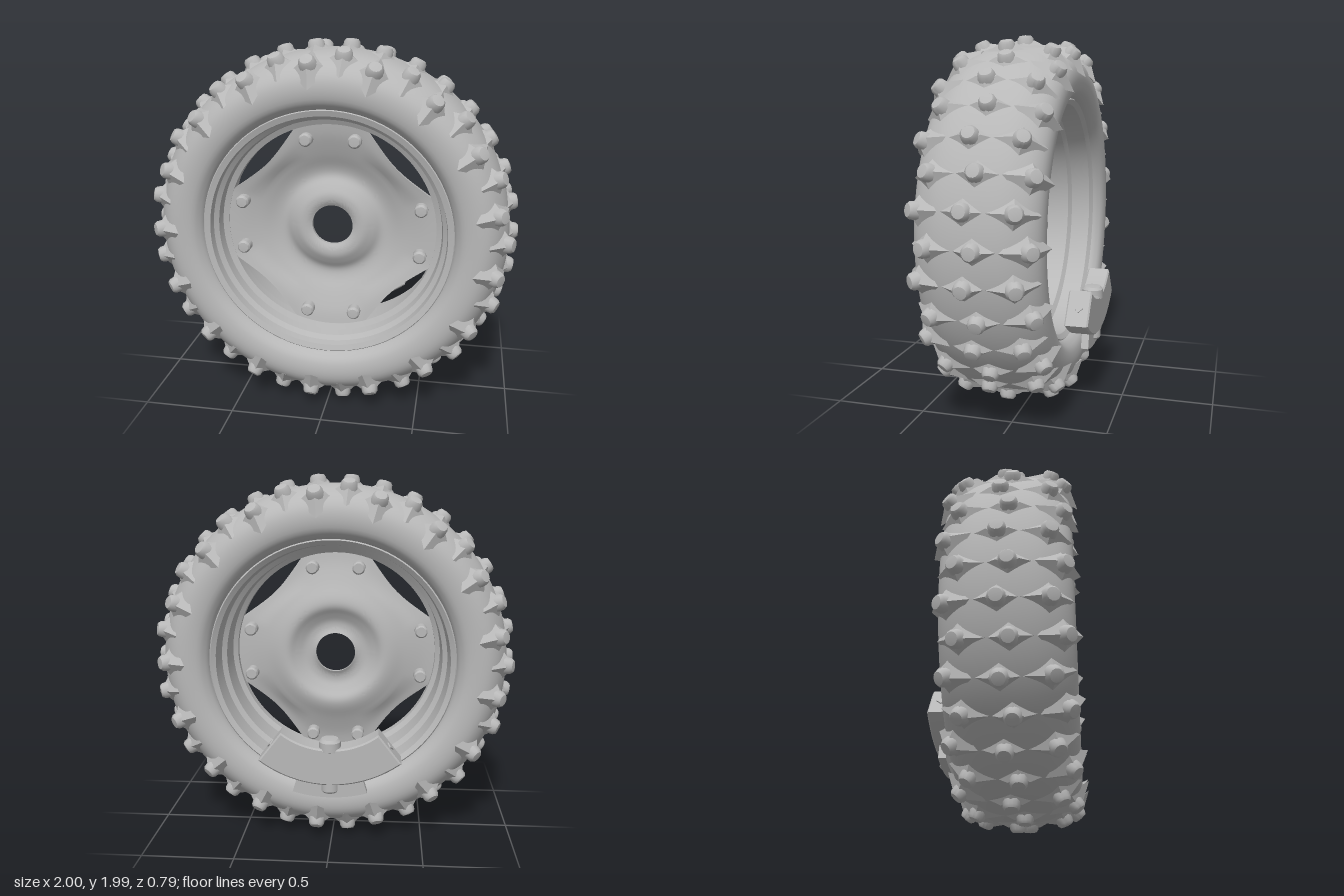
import * as THREE from 'three';
import { toCreasedNormals, mergeGeometries } from 'three/addons/utils/BufferGeometryUtils.js';

const metal = new THREE.MeshStandardMaterial({ color: 0xb8b8b8 });
metal.name = 'plain grey';

const MID = 0.065; // z of the tyre's middle plane
const pts = (list) => list.map(([r, z]) => new THREE.Vector2(r, z));

// Closed (radius, z) profile spun around the axle
function spin(points, segments, crease = 0.6) {
  const loop = [...points, points[0].clone()];
  return toCreasedNormals(new THREE.LatheGeometry(loop, segments).rotateX(Math.PI / 2), crease);
}

function add(parent, geometry, name) {
  const mesh = new THREE.Mesh(geometry, metal);
  mesh.name = name;
  parent.add(mesh);
  return mesh;
}

// Curved bar concentric with the wheel, centred on its lowest point
function arcBar(rIn, rOut, halfAngle, z0, z1, bevel = 0) {
  const mid = -Math.PI / 2;
  const s = new THREE.Shape();
  s.absarc(0, 0, rOut, mid - halfAngle, mid + halfAngle, false);
  s.absarc(0, 0, rIn, mid + halfAngle, mid - halfAngle, true);
  s.closePath();
  const g = new THREE.ExtrudeGeometry(s, {
    depth: z1 - z0 - 2 * bevel, curveSegments: 16, bevelEnabled: bevel > 0,
    bevelSize: bevel, bevelOffset: -bevel, bevelThickness: bevel, bevelSegments: 1,
  });
  return toCreasedNormals(g.translate(0, 0, z0 + bevel), 0.5);
}

function tyreGeometry() {
  const half = [[0.95, 0], [0.947, 0.09], [0.935, 0.16], [0.913, 0.215], [0.878, 0.27],
    [0.83, 0.306], [0.77, 0.316], [0.71, 0.303], [0.675, 0.268]];
  const whole = [...half.slice(1).reverse().map(([r, z]) => [r, -z]), ...half];
  const outer = new THREE.SplineCurve(pts(whole.map(([r, z]) => [r, z + MID]))).getPoints(48);
  return spin([...outer, ...pts([[0.665, 0.31], [0.665, -0.18]])], 96);
}

function rimGeometry() {
  return spin(pts([
    [0.69, -0.16], [0.69, 0.30], [0.665, 0.325], [0.635, 0.315], [0.63, 0.27], [0.607, 0.25],
    [0.6, 0.195], [0.57, 0.18], [0.57, 0.125], [0.595, 0.105], [0.6, -0.04],
    [0.625, -0.06], [0.635, -0.17], [0.66, -0.19],
  ]), 96, 0.4);
}

// Dished disc whose edge is cut back in four shallow curves
function discGeometry() {
  const front = new THREE.SplineCurve(pts([[0.58, 0.18], [0.5, 0.165], [0.4, 0.13], [0.32, 0.095],
    [0.27, 0.09], [0.225, 0.115], [0.18, 0.137], [0.14, 0.138], [0.112, 0.125]])).getPoints(32);
  const back = front.map((p) => new THREE.Vector2(p.x, p.y - 0.022)).reverse();
  const g = new THREE.LatheGeometry([...front, ...back, front[0].clone()], 144).rotateX(Math.PI / 2);
  const p = g.attributes.position;
  const quarter = Math.PI / 2;
  for (let i = 0; i < p.count; i++) {
    const x = p.getX(i), y = p.getY(i), r = Math.hypot(x, y);
    if (r < 0.4) continue;
    const a = Math.atan2(y, x) + 2 * Math.PI;
    const off = Math.abs((a % quarter) - quarter / 2) / 0.424;
    const edge = Math.min(0.58, 0.488 + 0.08 * off * off);
    const k = (0.4 + (r - 0.4) * (edge - 0.4) / 0.18) / r;
    p.setXY(i, x * k, y * k);
  }
  return toCreasedNormals(g, 0.6);
}

// Round stud on a low diamond-shaped foot, pointing along +y
function knobGeometry(footX, footZ) {
  const stud = new THREE.LatheGeometry(pts([[0.058, -0.04], [0.047, 0.005], [0.042, 0.04],
    [0.032, 0.053], [0, 0.057]]), 14);
  const foot = new THREE.CylinderGeometry(0.04, 0.12, 0.055, 4).scale(footX, 1, footZ);
  return mergeGeometries([toCreasedNormals(stud, 0.7), toCreasedNormals(foot, 0.3)]);
}

export function createModel() {
  const model = new THREE.Group();
  model.name = 'wheel';
  const wheel = new THREE.Group();
  wheel.name = 'wheelAssembly';
  wheel.position.y = 1;
  model.add(wheel);

  add(wheel, tyreGeometry(), 'tyre');
  add(wheel, rimGeometry(), 'rim');
  add(wheel, discGeometry(), 'wheelDisc');

  // Tread: three staggered knobs on each of 34 rows
  const centreKnob = knobGeometry(0.85, 1.3);
  const sideKnob = knobGeometry(0.85, 1.1);
  const ROWS = 34;
  for (let i = 0; i < ROWS; i++) {
    const row = new THREE.Group();
    row.name = 'treadRow';
    row.rotation.z = (i / ROWS) * Math.PI * 2 - Math.PI / 2;
    wheel.add(row);
    const s = i % 2 ? 1 : -1;
    const knobs = [
      [centreKnob, 0.943, 0.025 * s, 0],
      [sideKnob, 0.918, -0.205 * s, -0.42 * s],
      [sideKnob, 0.885, 0.265 * s, 0.7 * s],
    ];
    for (const [geometry, r, z, tilt] of knobs) {
      const knob = add(row, geometry, 'treadKnob');
      knob.position.set(0, r, MID + z);
      knob.rotation.x = tilt;
    }
  }

  // Wheel bolts, two at each lobe of the disc
  const bolt = toCreasedNormals(new THREE.LatheGeometry(pts([[0, 0.07], [0.028, 0.07], [0.036, 0.08],
    [0.036, 0.205], [0.027, 0.217], [0, 0.219]]), 20).rotateX(Math.PI / 2), 0.6);
  for (let i = 0; i < 4; i++) {
    for (const side of [-1, 1]) {
      const a = (i * Math.PI) / 2 + side * 0.262;
      add(wheel, bolt, 'wheelBolt').position.set(0.503 * Math.cos(a), 0.503 * Math.sin(a), 0);
    }
  }

  // Curved clamp at the back with its lower plate and upright pin
  const clamp = new THREE.Group();
  clamp.name = 'rearClamp';
  wheel.add(clamp);
  add(clamp, arcBar(0.42, 0.62, 0.66, -0.37, -0.245, 0.008), 'clampBar');
  add(clamp, arcBar(0.6, 0.7, 0.29, -0.34, -0.3), 'clampPlate');
  const pin = new THREE.LatheGeometry(pts([[0, -0.67], [0.04, -0.67], [0.047, -0.66], [0.047, -0.44],
    [0.058, -0.435], [0.058, -0.385], [0.045, -0.37], [0, -0.367]]), 24);
  add(clamp, toCreasedNormals(pin, 0.6), 'clampPin').position.z = -0.322;

  // Small diamond studs on the clamp's end faces
  for (const side of [-1, 1]) {
    const arm = new THREE.Group();
    arm.name = 'clampEnd';
    arm.rotation.z = side * 0.66;
    clamp.add(arm);
    const stud = add(arm, new THREE.BoxGeometry(0.008, 0.035, 0.035), 'endStud');
    stud.position.set(side * 0.002, -0.52, -0.31);
    stud.rotation.x = Math.PI / 4;
  }
  return model;
}
